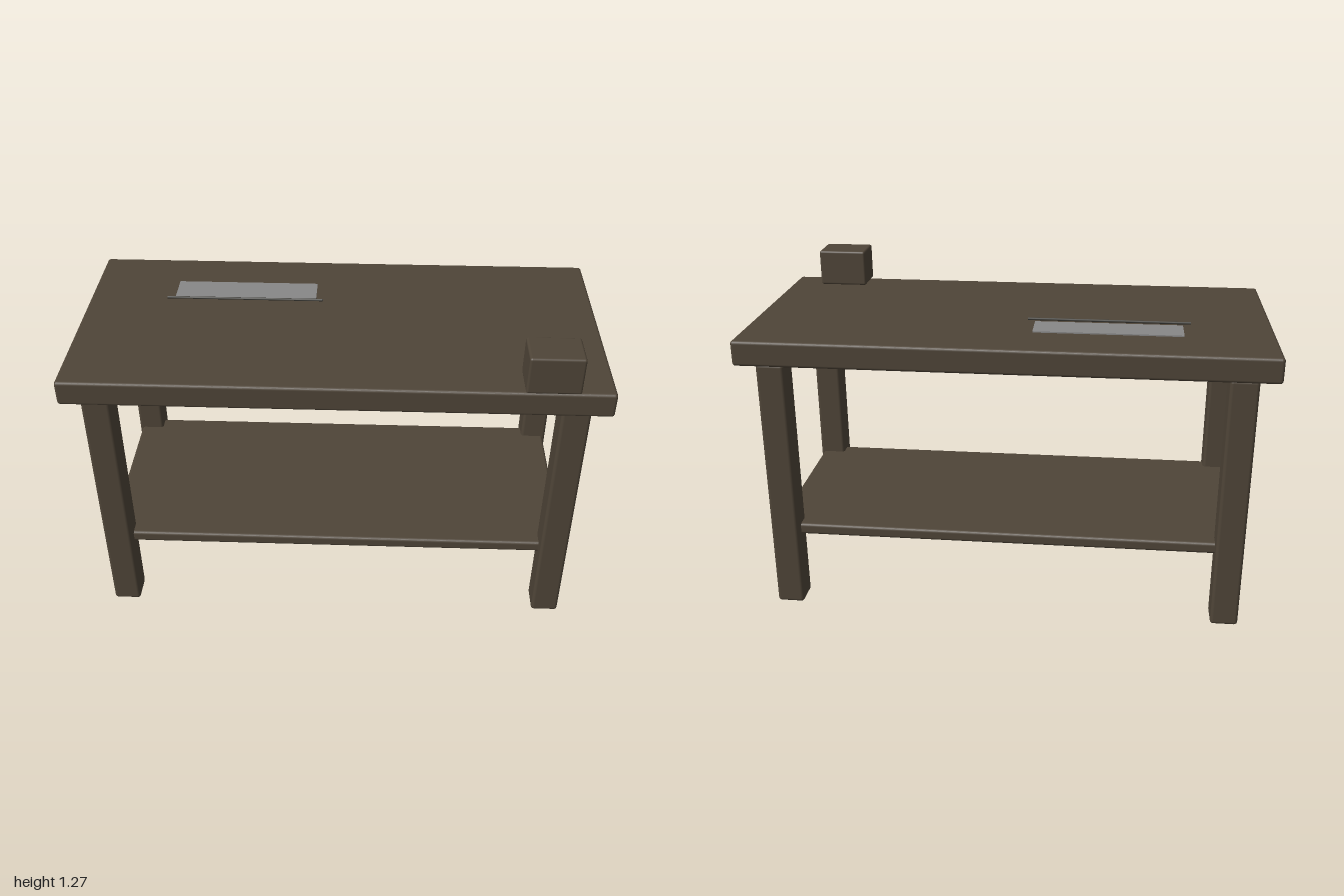
import * as THREE from 'three';
import { RoundedBoxGeometry } from 'three/addons/geometries/RoundedBoxGeometry.js';

export function createModel() {
  const bench = new THREE.Group();
  bench.name = 'workbench';

  const material = (name, color) => {
    const m = new THREE.MeshStandardMaterial({ color });
    m.name = name;
    return m;
  };
  const wood = material('dark wood', 0x4f4538);
  const steel = material('grey steel', 0x888888);
  const darkMetal = material('dark metal', 0x3f3e39);

  const add = (name, geometry, mat, x, y, z) => {
    const mesh = new THREE.Mesh(geometry, mat);
    mesh.name = name;
    mesh.position.set(x, y, z);
    bench.add(mesh);
    return mesh;
  };
  const block = (name, w, h, d, r, x, y, z) =>
    add(name, new RoundedBoxGeometry(w, h, d, 3, r), wood, x, y, z);

  // Thick worktop and lower shelf, let into the legs
  block('worktop', 2, 0.097, 0.932, 0.012, 0, 1.077, -0.003);
  block('lowerShelf', 1.83, 0.046, 0.77, 0.012, 0, 0.313, 0);

  // Four square legs
  for (const [side, sx] of [['Left', 1], ['Right', -1]]) {
    for (const [end, sz] of [['front', 1], ['back', -1]]) {
      block(end + side + 'Leg', 0.107, 1.025, 0.11, 0.013, sx * 0.873, 0.5125, sz * 0.376);
    }
  }

  // Small block standing on the front left corner
  block('cornerBlock', 0.196, 0.146, 0.146, 0.009, 0.772, 1.202, 0.397);

  // Flat steel plate with a thin rod along its front edge
  add('steelPlate', new THREE.BoxGeometry(0.563, 0.005, 0.128), steel, -0.377, 1.132, -0.203);
  const rod = add('rod', new THREE.CylinderGeometry(0.005, 0.005, 0.62, 8), darkMetal, -0.378, 1.14, -0.128);
  rod.rotation.z = Math.PI / 2;

  return bench;
}
